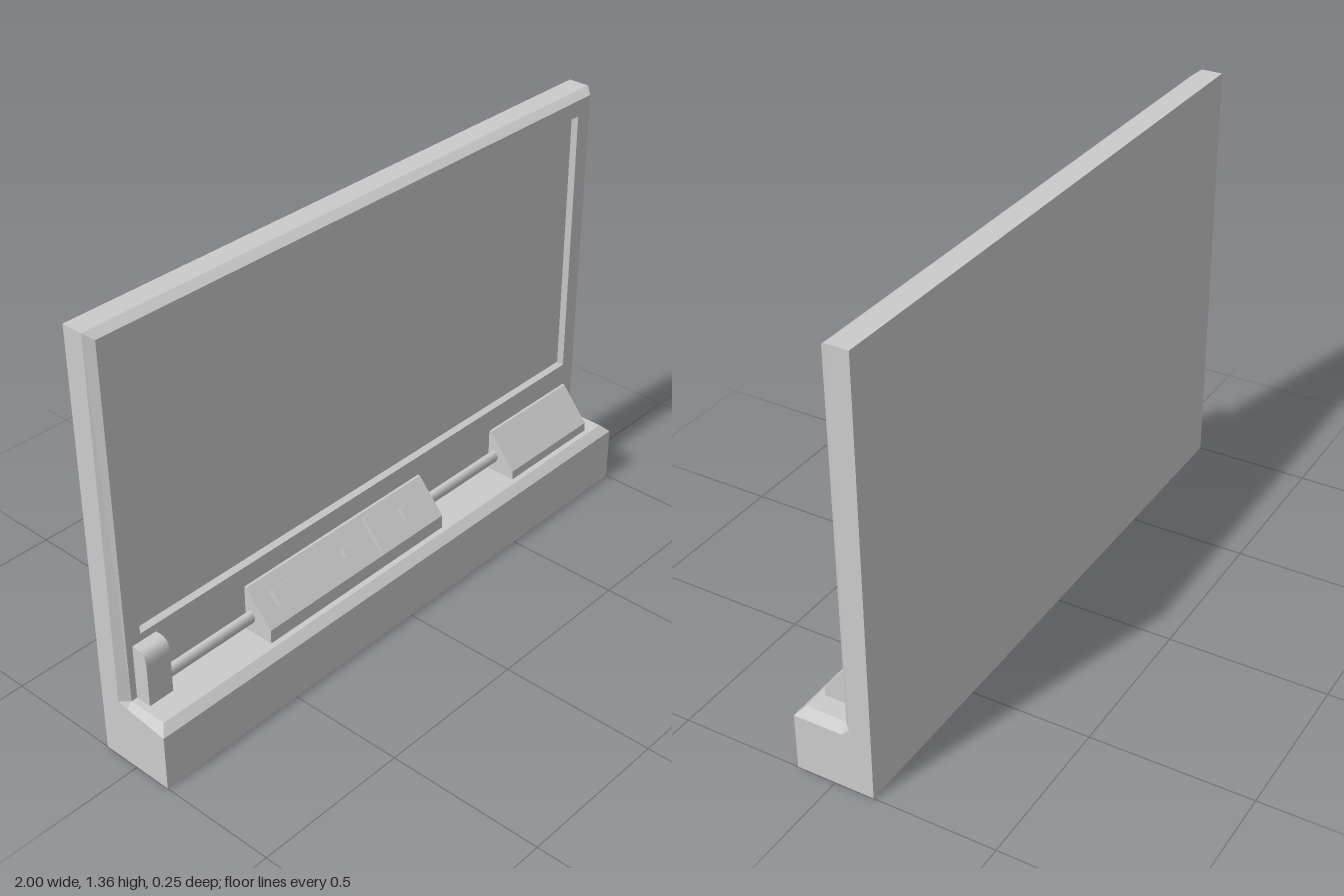
import * as THREE from 'three';

const grey = new THREE.MeshStandardMaterial({ color: 0xcccccc, side: THREE.DoubleSide });

// Flat polygons (arrays of [x, y, z] corners, fanned from the first) to one geometry
function polygons(list) {
  const pos = [];
  for (const p of list)
    for (let i = 1; i < p.length - 1; i++) pos.push(...p[0], ...p[i], ...p[i + 1]);
  const g = new THREE.BufferGeometry();
  g.setAttribute('position', new THREE.Float32BufferAttribute(pos, 3));
  g.computeVertexNormals();
  return g;
}

// Extrude a side profile, drawn as (z, y), from x0 to x1
function extrudeX(shape, x0, x1) {
  const g = new THREE.ExtrudeGeometry(shape, { depth: x1 - x0, bevelEnabled: false, curveSegments: 10 });
  return g.rotateY(-Math.PI / 2).translate(x1, 0, 0);
}

const shapeOf = pts => new THREE.Shape(pts.map(p => new THREE.Vector2(...p)));

export function createModel() {
  const model = new THREE.Group();
  const add = (name, geometry) => {
    const mesh = new THREE.Mesh(geometry, grey);
    mesh.name = name;
    model.add(mesh);
    return mesh;
  };

  // Casing: L-shaped shell with chamfered rim and open underside; points are [x, y, z]
  const E = [1, 0, -0.123], F = [1, 0, 0.123], A = [1, 0.18, 0.123], B = [1, 0.18, -0.03];
  const C = [1, 0.205, -0.055], D = [1, 1.36, -0.055], G = [1, 1.36, -0.123];
  const a = [0.975, 0.205, 0.098], b = [0.975, 0.205, -0.03], d = [0.98, 1.342, -0.03];
  const mirror = ([x, y, z]) => [-x, y, z];
  const side = [[B, A, F, E, C], [C, E, G, D], [A, B, b, a], [B, C, b], [C, D, d, b]];
  const across = [[F, A], [A, a], [a, b], [d, D], [D, G], [G, E]]
    .map(([p, q]) => [mirror(p), p, q, mirror(q)]);
  add('casing', polygons([
    ...side,
    ...side.map(p => p.map(mirror).reverse()),
    ...across,
  ]));

  // Bezel around the screen opening
  const rect = (inset, z) => {
    const x = 0.925 - inset, y0 = 0.41 + inset, y1 = 1.29 - inset;
    return [[-x, y0, z], [x, y0, z], [x, y1, z], [-x, y1, z]];
  };
  const rim = rect(0, -0.03), floor = rect(0.008, -0.048);
  const bezel = shapeOf([mirror(b), b, d, mirror(d)].map(p => p.slice(0, 2)));
  bezel.holes.push(new THREE.Path(rim.map(p => new THREE.Vector2(p[0], p[1]))));
  add('bezel', new THREE.ShapeGeometry(bezel).translate(0, 0, -0.03));

  // Recessed screen and its sloping edge
  add('screenEdge', polygons(rim.map((p, i) => {
    const j = (i + 1) % 4;
    return [p, rim[j], floor[j], floor[i]];
  })));
  add('screen', polygons([floor]));

  // Sloped boxes on the shelf
  const wedge = (lip, top) => shapeOf([[-0.02, 0.2], [0.08, 0.2], [0.08, lip], [-0.012, top], [-0.02, top]]);
  add('controlBox', extrudeX(wedge(0.25, 0.355), -0.55, 0.19));
  add('sideBox', extrudeX(wedge(0.235, 0.345), 0.535, 0.915));

  // Buttons on the slope of the control box: [name, x, y, width, length]
  const tilt = Math.atan2(0.105, 0.092);
  for (const [name, x, y, w, l] of [
    ['largeButton', -0.45, 0.305, 0.08, 0.045],
    ['smallButton', -0.182, 0.303, 0.055, 0.027],
    ['slider', -0.065, 0.303, 0.04, 0.11],
    ['mediumButton', 0.085, 0.303, 0.07, 0.042],
  ]) {
    const button = add(name, new THREE.BoxGeometry(w, 0.03, l));
    button.position.set(x, y, 0.08 - (y - 0.25) * 0.092 / 0.105);
    button.rotation.x = tilt;
  }

  // Rod running along the shelf, slightly flattened
  const rod = add('rod', new THREE.CylinderGeometry(0.021, 0.021, 1.43, 24).rotateZ(Math.PI / 2));
  rod.position.set(-0.17, 0.259, 0.002);
  rod.scale.z = 0.7;

  // Upright end bracket with a rounded front top
  const bracket = new THREE.Shape();
  bracket.moveTo(-0.035, 0.2);
  bracket.lineTo(0.022, 0.2);
  bracket.lineTo(0.022, 0.335);
  bracket.quadraticCurveTo(0.022, 0.385, -0.012, 0.385);
  bracket.lineTo(-0.035, 0.385);
  add('endBracket', extrudeX(bracket, -0.955, -0.87));

  return model;
}
